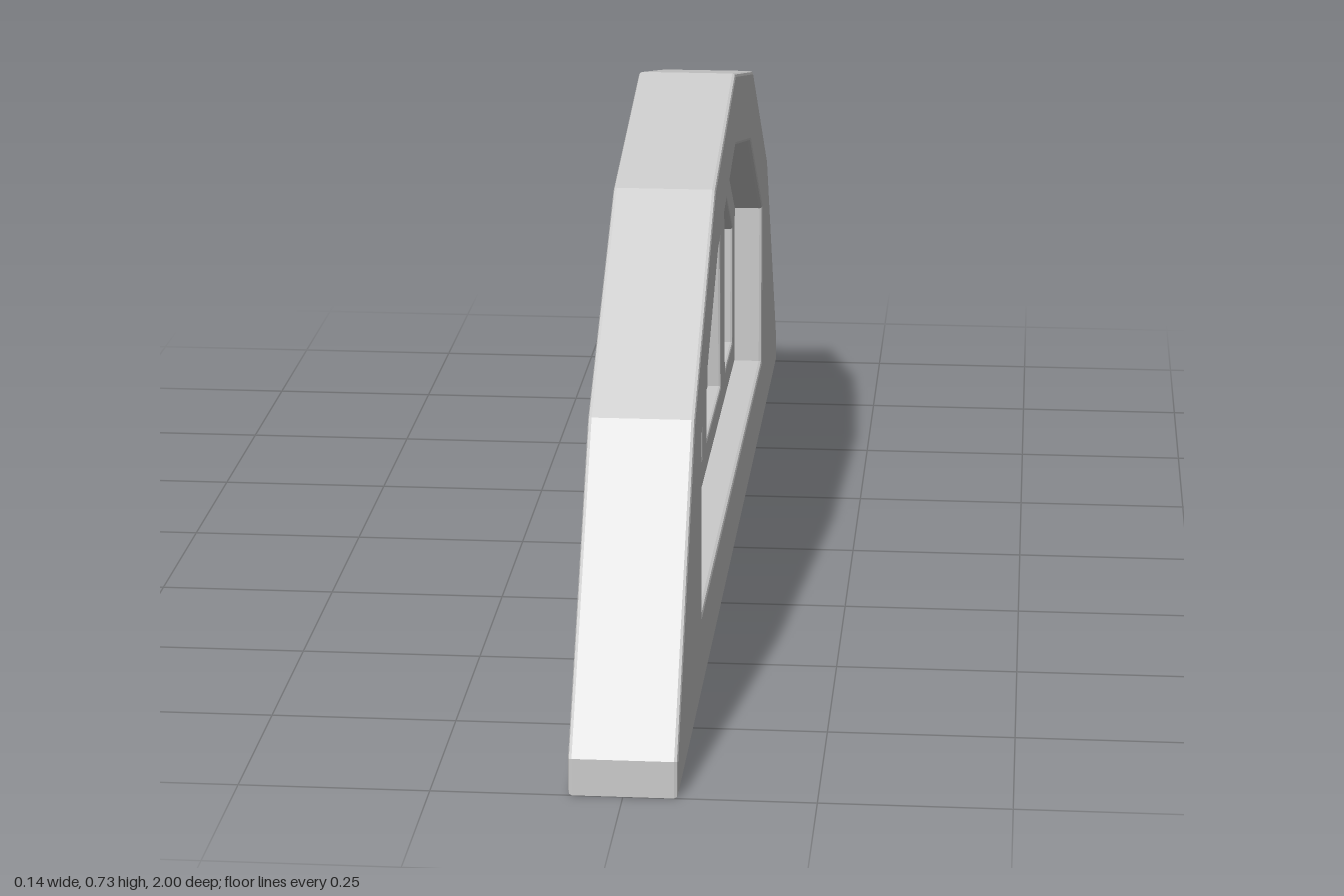
import * as THREE from 'three';

const material = new THREE.MeshStandardMaterial({ color: 0xcccccc });

// Half outlines as [z, y], running from the bottom outside to the crown
const wallHalf = [[1, 0], [1, 0.05], [0.73, 0.425], [0.38, 0.65], [0, 0.73]];
const openingHalf = [[0.617, 0.112], [0.617, 0.37], [0.333, 0.55], [0, 0.622]];
const seatHalf = [[0.635, 0.094], [0.635, 0.38], [0.338, 0.568], [0, 0.64]];
const innerPane = [[0.04, 0.155], [0.326, 0.155], [0.295, 0.513], [0.04, 0.567]];
const outerPane = [[0.41, 0.155], [0.576, 0.155], [0.576, 0.345], [0.385, 0.465]];

const toVectors = (pts) => pts.map(([x, y]) => new THREE.Vector2(x, y));
const flip = (pts) => pts.map(([x, y]) => [-x, y]).reverse();

// Completes a half outline across the centre line
const mirrored = (half) => toVectors([...half, ...flip(half).slice(1)]);

// Extrudes an outline with holes to a slab centred on x = 0
function slab(name, outline, holes, thickness, bevel) {
  const shape = new THREE.Shape(outline);
  for (const hole of holes) shape.holes.push(new THREE.Path(hole));
  const geometry = new THREE.ExtrudeGeometry(shape, {
    depth: thickness - 2 * bevel,
    bevelEnabled: bevel > 0,
    bevelThickness: bevel,
    bevelSize: bevel,
    bevelOffset: -bevel,
    bevelSegments: 2,
  });
  geometry.translate(0, 0, -(thickness - 2 * bevel) / 2);
  geometry.rotateY(Math.PI / 2);
  const mesh = new THREE.Mesh(geometry, material);
  mesh.name = name;
  return mesh;
}

export function createModel() {
  const group = new THREE.Group();
  group.name = 'archedWindow';

  // Faceted arch surround with the window opening
  group.add(slab('archSurround', mirrored(wallHalf), [mirrored(openingHalf)], 0.142, 0.005));

  // Recessed sash with four pane openings, its rim buried in the surround
  const panes = [innerPane, outerPane].flatMap((p) => [toVectors(p), toVectors(flip(p))]);
  group.add(slab('windowSash', mirrored(seatHalf), panes, 0.052, 0.004));

  // Thin panel closing the panes
  group.add(slab('windowPanes', mirrored(seatHalf), [], 0.01, 0));

  return group;
}
